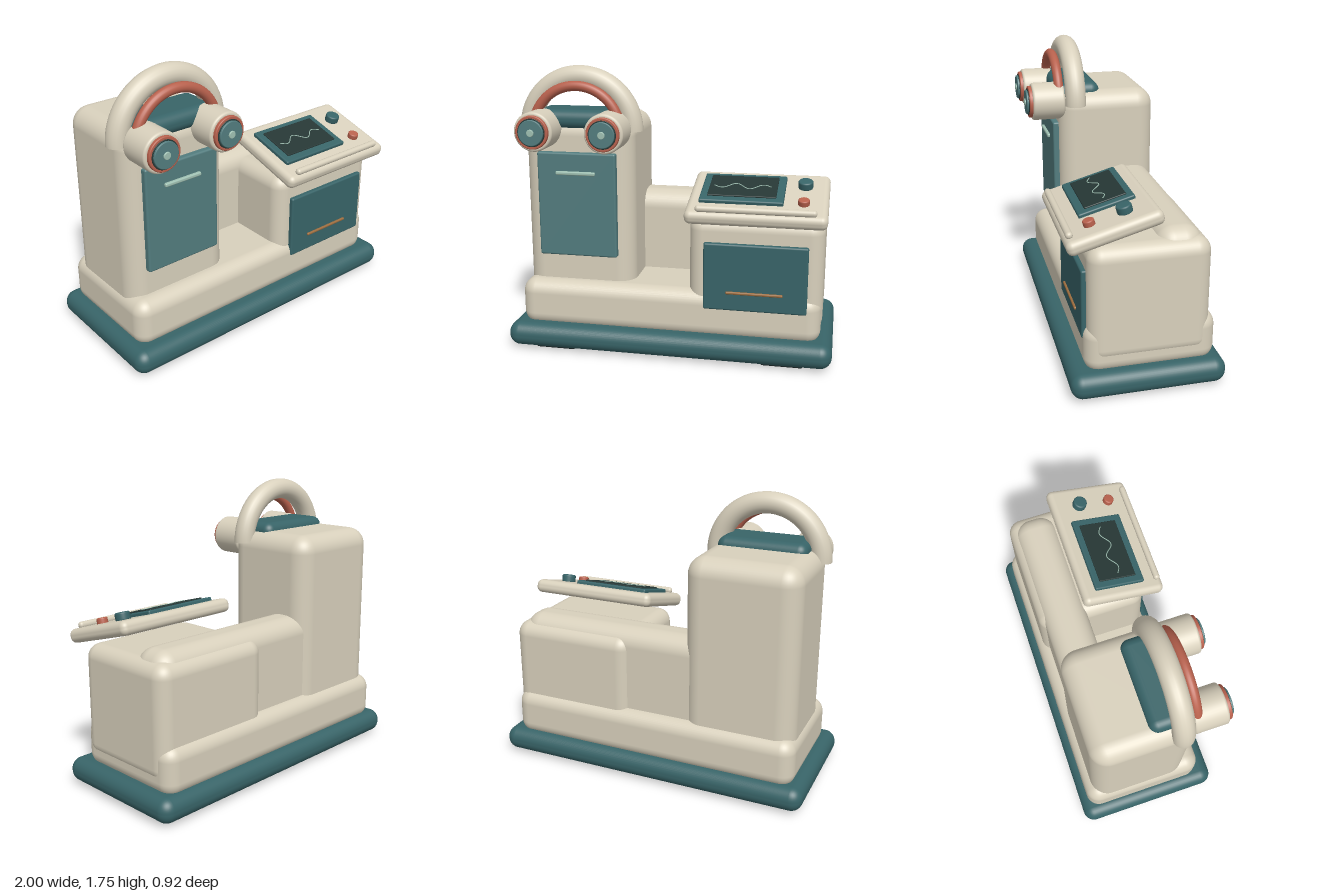
import * as THREE from 'three';
import { RoundedBoxGeometry } from 'three/addons/geometries/RoundedBoxGeometry.js';

const mat = (color) => new THREE.MeshStandardMaterial({ color });
const cream = mat(0xd8d0bc), teal = mat(0x386468), panelTeal = mat(0x527c7e), red = mat(0xb8614d);
const dark = mat(0x263735), mint = mat(0x9fc0b2), bronze = mat(0x9c6d3f), rubber = mat(0x1e2b2c);

function add(parent, name, geometry, material, x = 0, y = 0, z = 0) {
  const mesh = new THREE.Mesh(geometry, material);
  mesh.name = name;
  mesh.position.set(x, y, z);
  parent.add(mesh);
  return mesh;
}

// Rounded box given by its [min, max] range on each axis
function block(parent, name, material, [x0, x1], [y0, y1], [z0, z1], r) {
  const geometry = new RoundedBoxGeometry(x1 - x0, y1 - y0, z1 - z0, 5, r);
  return add(parent, name, geometry, material, (x0 + x1) / 2, (y0 + y1) / 2, (z0 + z1) / 2);
}

// Lathe disc with softened rims, its axis along y
function softDisc(radius, height, r) {
  const h = height / 2, pts = [new THREE.Vector2(0, -h)];
  for (const [cy, start] of [[-h + r, -Math.PI / 2], [h - r, 0]]) {
    for (let i = 0; i <= 4; i++) {
      const a = start + (i / 4) * Math.PI / 2;
      pts.push(new THREE.Vector2(radius - r + r * Math.cos(a), cy + r * Math.sin(a)));
    }
  }
  pts.push(new THREE.Vector2(0, h));
  return new THREE.LatheGeometry(pts, 48);
}

function disc(parent, name, material, radius, z0, z1, r) {
  const mesh = add(parent, name, softDisc(radius, z1 - z0, r), material, 0, 0, (z0 + z1) / 2);
  mesh.rotation.x = Math.PI / 2;
}

// Half ring with closed ends
function arch(parent, name, material, R, r, x, y, z) {
  const group = new THREE.Group();
  group.name = name;
  group.position.set(x, y, z);
  add(group, name + 'Tube', new THREE.TorusGeometry(R, r, 20, 56, Math.PI), material);
  for (const s of [-1, 1]) {
    add(group, name + 'End', new THREE.CircleGeometry(r, 20), material, s * R).rotation.x = Math.PI / 2;
  }
  parent.add(group);
}

export function createModel() {
  const model = new THREE.Group();
  model.name = 'machine';

  // Base, feet and plinth
  block(model, 'base', teal, [-1, 1], [0.015, 0.165], [-0.46, 0.435], 0.07);
  for (const x of [-0.705, 0.705]) {
    for (const z of [-0.28, 0.28]) {
      block(model, 'foot', rubber, [x - 0.125, x + 0.125], [0, 0.04], [z - 0.09, z + 0.09], 0.01);
    }
  }
  block(model, 'plinth', cream, [-0.93, 0.925], [0.13, 0.43], [-0.41, 0.345], 0.085);

  // Main bodies
  block(model, 'tower', cream, [-0.91, -0.225], [0.2, 1.44], [-0.365, 0.25], 0.11);
  block(model, 'rearBody', cream, [-0.4, 0.895], [0.25, 0.94], [-0.34, -0.065], 0.11);
  block(model, 'cabinet', cream, [0.13, 0.932], [0.2, 0.89], [-0.372, 0.325], 0.085);

  // Doors and their handles
  block(model, 'towerDoor', panelTeal, [-0.81, -0.32], [0.59, 1.235], [0.235, 0.285], 0.012);
  block(model, 'towerHandle', mint, [-0.69, -0.445], [1.1, 1.123], [0.28, 0.303], 0.008);
  block(model, 'cabinetDoor', teal, [0.225, 0.842], [0.328, 0.74], [0.31, 0.352], 0.012);
  block(model, 'cabinetHandle', bronze, [0.362, 0.7], [0.434, 0.45], [0.345, 0.364], 0.006);

  // Head: top pad, carrying arch and red band
  block(model, 'topPad', teal, [-0.84, -0.29], [1.37, 1.488], [-0.02, 0.262], 0.055);
  arch(model, 'archHandle', cream, 0.322, 0.065, -0.565, 1.36, 0.15);
  arch(model, 'redBand', red, 0.272, 0.03, -0.565, 1.36, 0.245);

  // Twin drums
  for (const x of [-0.78, -0.352]) {
    const drum = new THREE.Group();
    drum.name = 'drum';
    drum.position.set(x, 1.375, 0);
    disc(drum, 'drumBody', cream, 0.118, 0.215, 0.418, 0.015);
    disc(drum, 'drumRing', red, 0.1, 0.41, 0.438, 0.006);
    disc(drum, 'drumGap', dark, 0.084, 0.43, 0.442, 0.003);
    disc(drum, 'drumFace', panelTeal, 0.077, 0.43, 0.454, 0.005);
    disc(drum, 'drumHub', mint, 0.022, 0.445, 0.462, 0.004);
    model.add(drum);
  }

  // Tilted console, built flat around its own centre
  const desk = new THREE.Group();
  desk.name = 'console';
  desk.position.set(0.53, 0.977, 0.178);
  desk.rotation.x = THREE.MathUtils.degToRad(16);
  model.add(desk);
  block(desk, 'consoleSlab', cream, [-0.41, 0.413], [-0.042, 0.042], [-0.272, 0.272], 0.036);
  block(desk, 'screenBezel', teal, [-0.34, 0.155], [0.03, 0.064], [-0.19, 0.142], 0.01);
  block(desk, 'screen', dark, [-0.295, 0.11], [0.055, 0.072], [-0.152, 0.094], 0.005);
  block(desk, 'frontLip', cream, [-0.345, 0.352], [0.035, 0.075], [0.212, 0.252], 0.019);

  // Wave trace on the screen
  const wave = [];
  for (let i = 0; i <= 24; i++) {
    const t = i / 24;
    const swell = 0.6 + 0.4 * Math.sin(t * Math.PI);
    wave.push(new THREE.Vector3(-0.265 + 0.34 * t, 0.073, -0.022 + 0.03 * swell * Math.sin(t * Math.PI * 4)));
  }
  add(desk, 'screenTrace', new THREE.TubeGeometry(new THREE.CatmullRomCurve3(wave), 72, 0.003, 6), mint);

  // Knobs
  add(desk, 'largeKnob', softDisc(0.044, 0.05, 0.01), teal, 0.27, 0.062, -0.095);
  add(desk, 'smallKnob', softDisc(0.033, 0.04, 0.008), red, 0.27, 0.055, 0.108);

  return model;
}
